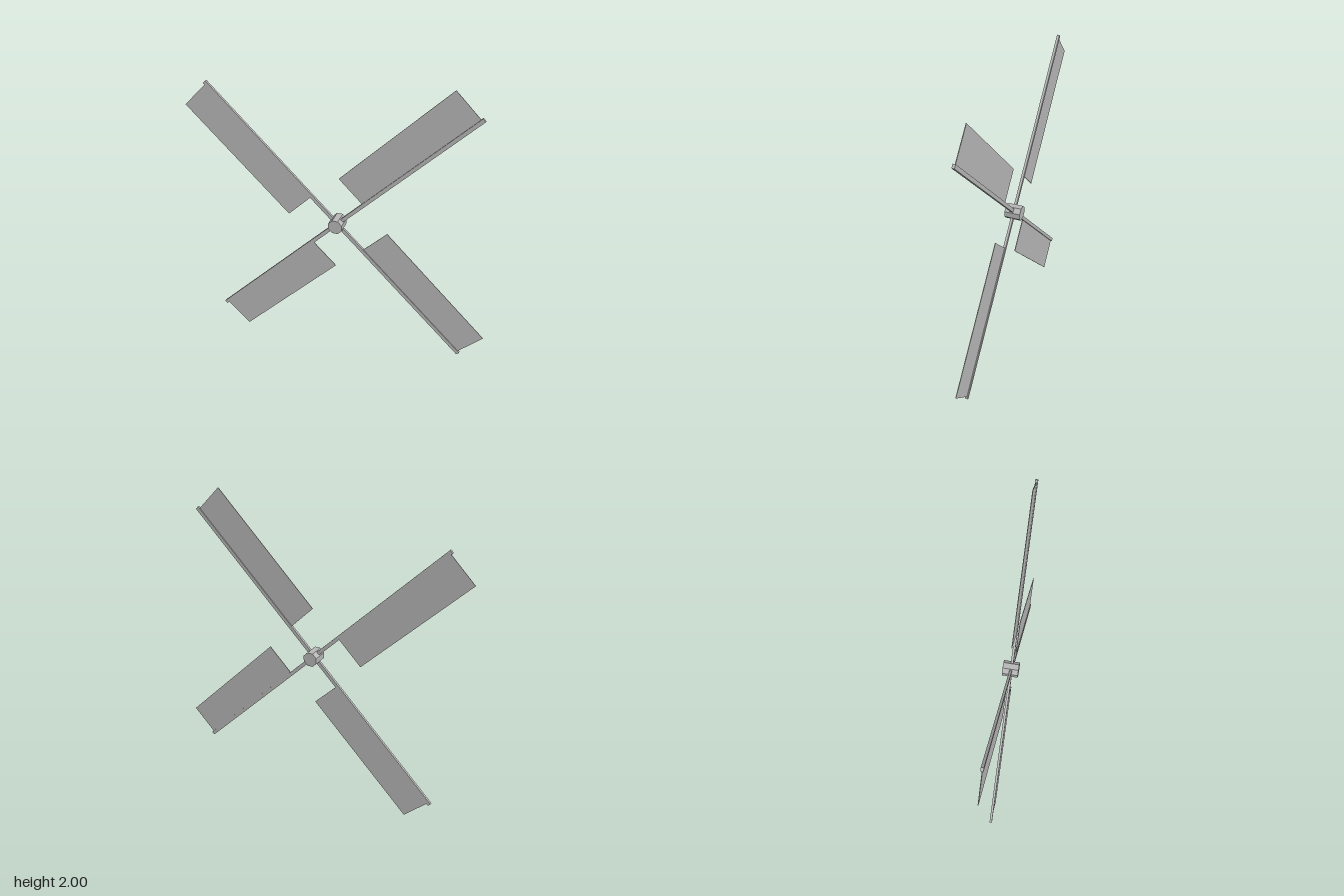
import * as THREE from 'three';

export function createModel() {
  const model = new THREE.Group();
  model.name = 'windmillRotor';
  const grey = new THREE.MeshStandardMaterial({ color: 0xb8b8b8 });
  grey.name = 'plain grey';

  const rotor = new THREE.Group();
  rotor.name = 'rotor';
  rotor.position.y = 1;
  model.add(rotor);

  const add = (parent, name, geometry, x, y, z) => {
    const mesh = new THREE.Mesh(geometry, grey);
    mesh.name = name;
    mesh.position.set(x, y, z);
    parent.add(mesh);
    return mesh;
  };

  // Faceted octagonal hub, flat side up, lying along z
  const hub = new THREE.CylinderGeometry(0.049, 0.049, 0.102, 8)
    .rotateY(Math.PI / 8).rotateX(Math.PI / 2).toNonIndexed();
  hub.computeVertexNormals();
  add(rotor, 'hub', hub, 0, 0, 0);

  // Four arms, each a square spar with a thin sail along one side
  const sparLength = 1.202, sailStart = 0.24, sailEnd = 1.188, sailWidth = 0.226;
  const sparGeometry = new THREE.BoxGeometry(sparLength, 0.024, 0.016);
  const sailGeometry = new THREE.BoxGeometry(sailEnd - sailStart, sailWidth, 0.004);
  for (let i = 0; i < 4; i++) {
    const arm = new THREE.Group();
    arm.name = 'arm' + (i + 1);
    arm.rotation.z = Math.PI / 4 + i * Math.PI / 2;
    add(arm, 'spar', sparGeometry, sparLength / 2, 0, 0.003);
    add(arm, 'sail', sailGeometry, (sailStart + sailEnd) / 2, sailWidth / 2, 0.003);
    rotor.add(arm);
  }
  return model;
}
